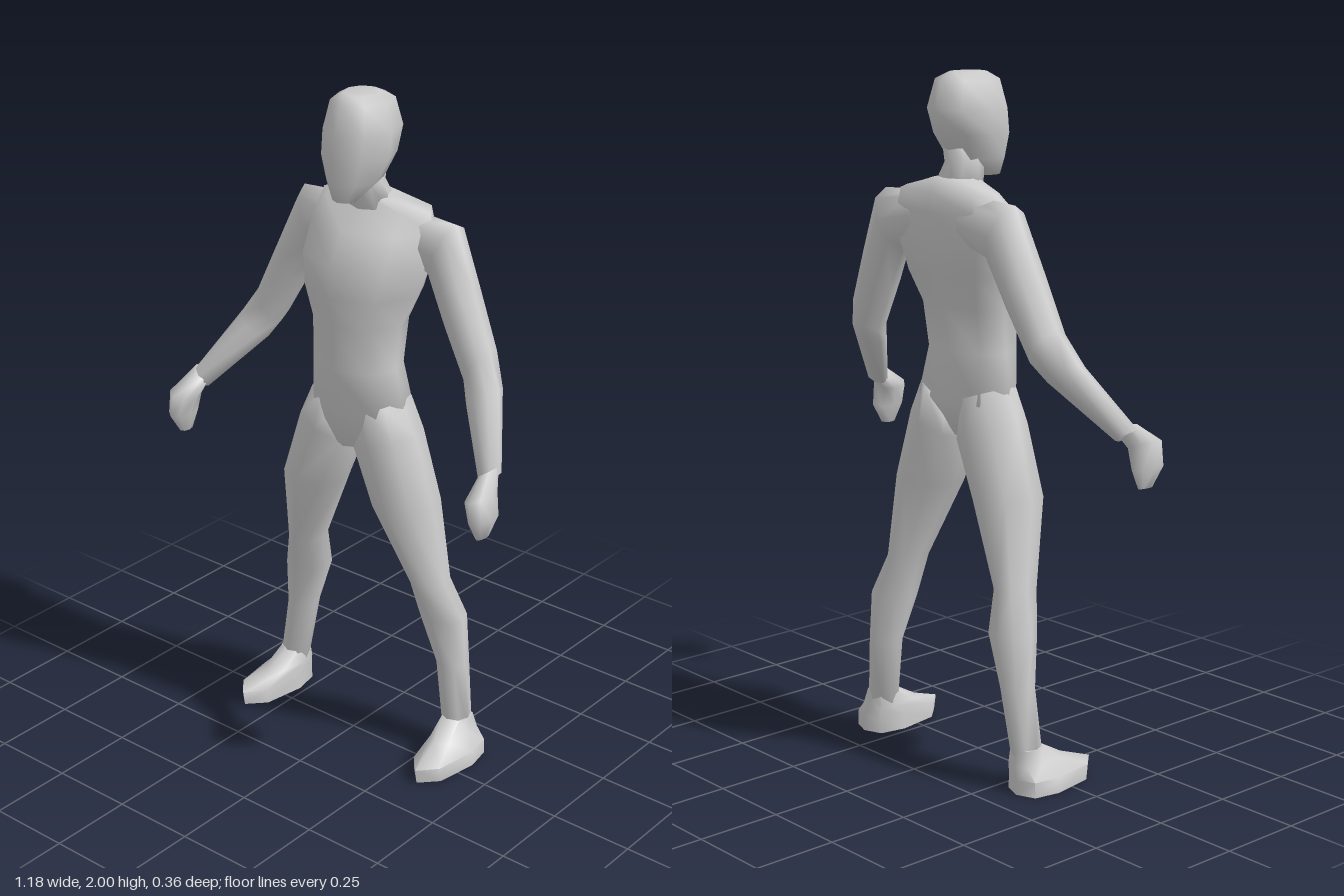
import * as THREE from 'three';
import { toCreasedNormals } from 'three/addons/utils/BufferGeometryUtils.js';

const material = new THREE.MeshStandardMaterial({ color: 0xcccccc });
const SIDES = 8;

// Closed loft through rings listed from top to bottom.
// Ring: [x, y, z, halfWidth, frontDepth, backDepth, tiltDegrees]
function loft(rings, { mirror = false, boxyBack = 1 } = {}) {
  const pos = [], index = [], s = mirror ? -1 : 1;
  const tri = (a, b, c) => (mirror ? index.push(a, c, b) : index.push(a, b, c));
  const power = (v, e) => Math.sign(v) * Math.abs(v) ** e;
  for (const [x, y, z, r, front, back, tilt = 0] of rings) {
    const t = THREE.MathUtils.degToRad(tilt);
    for (let i = 0; i < SIDES; i++) {
      const a = (i / SIDES) * Math.PI * 2;
      const behind = Math.sin(a) < -1e-6;
      const e = behind ? boxyBack : 1;
      const u = power(Math.cos(a), e) * r;
      const v = power(Math.sin(a), e) * (behind ? back : front);
      pos.push(s * (x + u * Math.cos(t)), y + u * Math.sin(t), z + v);
    }
  }
  for (let j = 0; j < rings.length - 1; j++) {
    for (let i = 0; i < SIDES; i++) {
      const a = j * SIDES + i, b = j * SIDES + (i + 1) % SIDES;
      tri(a, b, a + SIDES);
      tri(b, b + SIDES, a + SIDES);
    }
  }
  // end caps
  const last = (rings.length - 1) * SIDES;
  for (let i = 1; i < SIDES - 1; i++) {
    tri(0, i + 1, i);
    tri(last, last + i, last + i + 1);
  }
  const geo = new THREE.BufferGeometry();
  geo.setAttribute('position', new THREE.Float32BufferAttribute(pos, 3));
  geo.setIndex(index);
  geo.computeVertexNormals();
  return geo;
}

const HEAD = [
  [0, 2.0, -0.04, 0.05, 0.06, 0.05],
  [0, 1.98, -0.04, 0.085, 0.095, 0.095],
  [0, 1.9, -0.04, 0.102, 0.12, 0.122],
  [0, 1.83, -0.035, 0.098, 0.127, 0.1],
  [0, 1.76, -0.015, 0.07, 0.1, 0.08],
  [0, 1.71, 0.035, 0.035, 0.036, 0.035],
];
const NECK = [
  [0, 1.82, -0.06, 0.06, 0.05, 0.055],
  [0, 1.75, -0.05, 0.058, 0.05, 0.055],
  [0, 1.64, -0.08, 0.09, 0.06, 0.08],
];
const TORSO = [
  [0, 1.71, -0.075, 0.065, 0.045, 0.06],
  [0, 1.675, -0.1, 0.19, 0.08, 0.075],
  [0, 1.62, -0.1, 0.205, 0.15, 0.08],
  [0, 1.53, -0.08, 0.205, 0.18, 0.095],
  [0, 1.44, -0.06, 0.18, 0.17, 0.1],
  [0, 1.35, -0.03, 0.145, 0.12, 0.1],
  [0, 1.22, -0.02, 0.14, 0.11, 0.09],
  [0, 1.08, -0.03, 0.165, 0.1, 0.105],
  [0, 0.97, -0.02, 0.06, 0.07, 0.06],
];
const ARM = [
  [0.1, 1.6, -0.11, 0.07, 0.05, 0.065, 80],
  [0.235, 1.575, -0.11, 0.092, 0.06, 0.07, 66],
  [0.305, 1.43, -0.1, 0.075, 0.065, 0.068, 60],
  [0.38, 1.28, -0.085, 0.063, 0.055, 0.065, 56],
  [0.42, 1.21, -0.055, 0.058, 0.05, 0.055, 32],
  [0.535, 1.04, 0.065, 0.034, 0.035, 0.035, 35],
];
const HAND = [
  [0.53, 1.06, 0.065, 0.03, 0.035, 0.03, 35],
  [0.547, 1.01, 0.115, 0.04, 0.065, 0.045, 20],
  [0.558, 0.945, 0.125, 0.03, 0.055, 0.06, 10],
  [0.553, 0.888, 0.12, 0.014, 0.025, 0.025, 10],
];
const LEG = [
  [0.085, 1.1, -0.03, 0.07, 0.08, 0.1, 20],
  [0.1, 0.995, -0.03, 0.108, 0.09, 0.11, 20],
  [0.168, 0.81, -0.035, 0.098, 0.1, 0.105, 5],
  [0.234, 0.565, -0.07, 0.052, 0.07, 0.067],
  [0.26, 0.445, -0.1, 0.075, 0.06, 0.066],
  [0.291, 0.295, -0.11, 0.047, 0.05, 0.053],
  [0.32, 0.09, -0.1, 0.044, 0.045, 0.045],
];
const FOOT = [
  [0.32, 0.125, -0.1, 0.043, 0.045, 0.042],
  [0.325, 0.08, -0.095, 0.05, 0.12, 0.058],
  [0.34, 0.045, -0.06, 0.069, 0.187, 0.1],
  [0.34, 0, -0.06, 0.071, 0.18, 0.1],
];

export function createModel() {
  const group = new THREE.Group();
  const add = (name, geo) => {
    const mesh = new THREE.Mesh(geo, material);
    mesh.name = name;
    group.add(mesh);
  };
  add('head', loft(HEAD));
  add('neck', loft(NECK));
  add('torso', loft(TORSO, { boxyBack: 0.7 }));
  // limbs, mirrored across x = 0
  for (const [side, mirror] of [['left', false], ['right', true]]) {
    add(side + 'Arm', loft(ARM, { mirror }));
    add(side + 'Hand', loft(HAND, { mirror }));
    add(side + 'Leg', loft(LEG, { mirror }));
    add(side + 'Foot', toCreasedNormals(loft(FOOT, { mirror, boxyBack: 0.7 }), 1.1));
  }
  return group;
}
